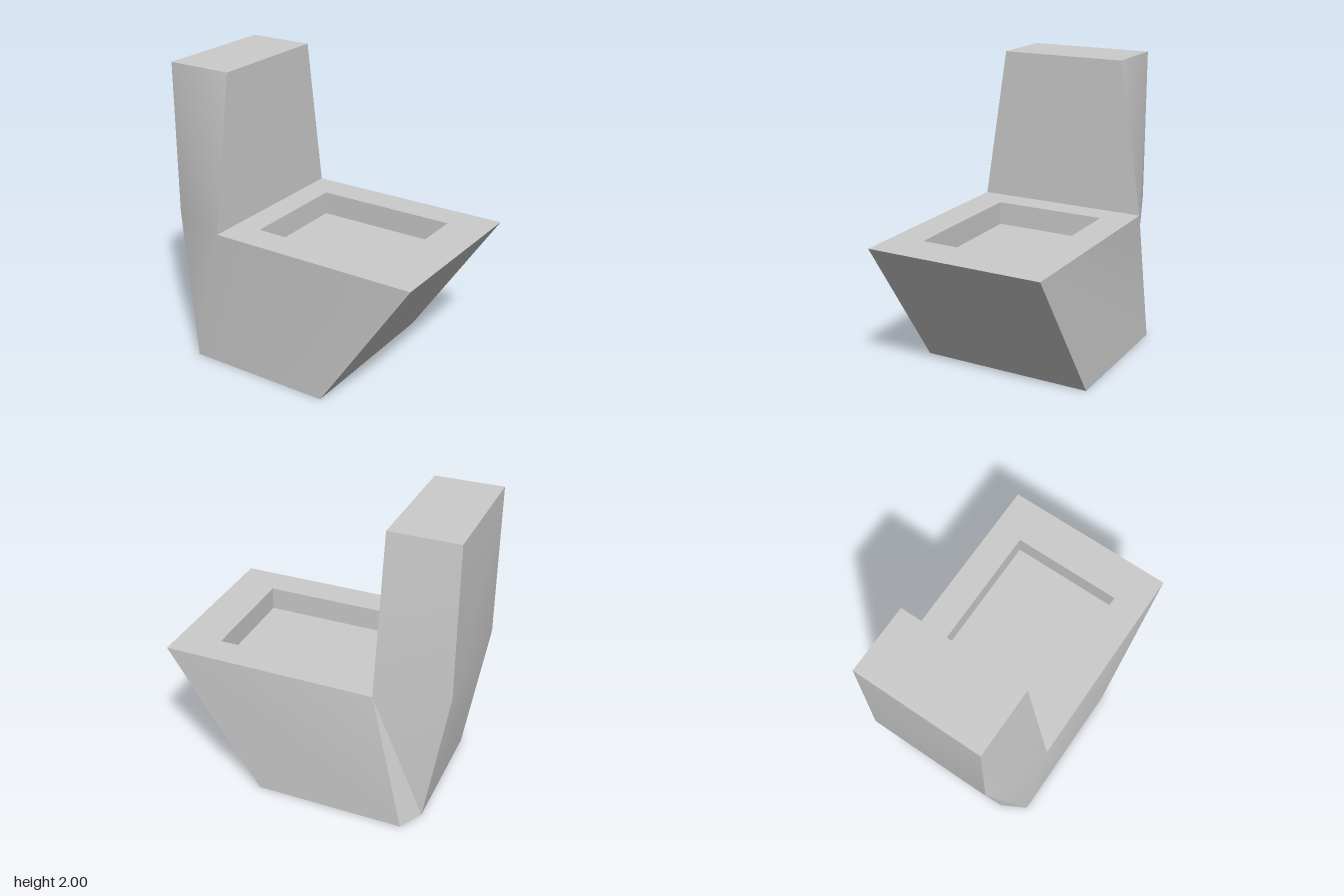
import * as THREE from 'three';
import { toCreasedNormals } from 'three/addons/utils/BufferGeometryUtils.js';

// Fans each polygon (corners counter-clockwise from outside) into triangles
function polyMesh(name, polys) {
  const pos = [];
  for (const p of polys)
    for (let i = 1; i < p.length - 1; i++) pos.push(...p[0], ...p[i], ...p[i + 1]);
  const geo = new THREE.BufferGeometry();
  geo.setAttribute('position', new THREE.Float32BufferAttribute(pos, 3));
  const mesh = new THREE.Mesh(toCreasedNormals(geo, 0.45),
    new THREE.MeshStandardMaterial({ color: 0xcccccc }));
  mesh.name = name;
  return mesh;
}

export function createModel() {
  const group = new THREE.Group();
  group.name = 'toilet';

  const rimY = 0.96, topY = 2, wide = 0.6, narrow = 0.435;
  // Outline corners of one side; s = 1 for +z, -1 for -z
  const corners = (s) => ({
    tankTopBack: [-0.945, topY, s * narrow],
    tankTopFront: [-0.49, topY, s * narrow],
    tankMidBack: [-0.945, rimY, s * narrow],
    rimBack: [-0.49, rimY, s * wide],
    rimFront: [0.945, rimY, s * wide],
    baseFront: [0.31, 0, s * wide],
    baseSide: [-0.7, 0, s * wide],
    baseBack: [-0.79, 0, s * narrow],
  });
  const L = corners(1), R = corners(-1);

  // Body: bowl and tank sides, one skin
  const body = [];
  for (const [c, s] of [[L, 1], [R, -1]]) {
    const lower = s > 0
      ? [c.baseSide, c.rimBack, c.tankMidBack, c.baseBack]
      : [c.rimBack, c.tankMidBack, c.baseBack, c.baseSide];
    const sides = [
      [c.baseSide, c.baseFront, c.rimFront, c.rimBack],
      lower,
      [c.rimBack, c.tankTopFront, c.tankTopBack, c.tankMidBack],
    ];
    for (const p of sides) body.push(s > 0 ? p : [p[0], ...p.slice(1).reverse()]);
  }
  // Body: faces spanning from side to side
  const span = (a) => [L[a[0]], R[a[0]], R[a[1]], L[a[1]]];
  body.push(
    span(['baseFront', 'rimFront']),
    span(['rimBack', 'tankTopFront']),
    span(['tankTopFront', 'tankTopBack']),
    span(['tankTopBack', 'tankMidBack']),
    span(['tankMidBack', 'baseBack']),
    [L.baseSide, L.baseBack, R.baseBack, R.baseSide, R.baseFront, L.baseFront],
  );
  group.add(polyMesh('bowlAndTank', body));

  // Rim ring and the sunken basin
  const ring = (x0, x1, z0, z1, y) => [[x0, y, z1], [x1, y, z1], [x1, y, z0], [x0, y, z0]];
  const outer = ring(-0.49, 0.945, -wide, wide, rimY);
  const lip = ring(-0.31, 0.66, -0.39, 0.385, rimY);
  const floor = ring(-0.31, 0.66, -0.39, 0.385, 0.8);
  const rim = [], basin = [floor];
  for (let i = 0; i < 4; i++) {
    const j = (i + 1) % 4;
    rim.push([outer[i], outer[j], lip[j], lip[i]]);
    basin.push([lip[i], lip[j], floor[j], floor[i]]);
  }
  group.add(polyMesh('rim', rim), polyMesh('basin', basin));

  return group;
}
